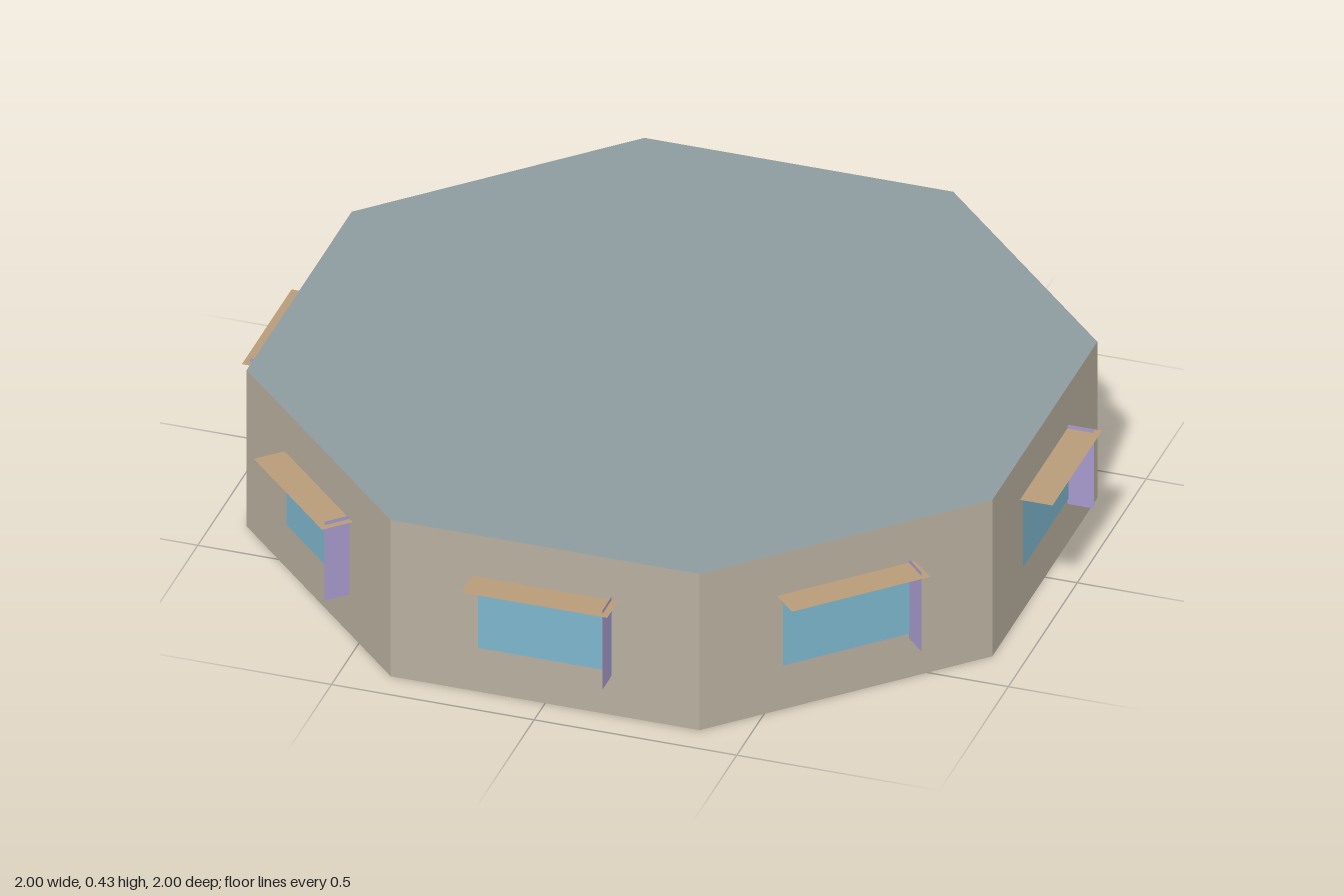
import * as THREE from 'three';

const SIDES = 8, APOTHEM = 0.92, HEIGHT = 0.425;
const RADIUS = APOTHEM / Math.cos(Math.PI / SIDES);

function material(color, doubleSided = false) {
  return new THREE.MeshStandardMaterial({
    color, flatShading: true, side: doubleSided ? THREE.DoubleSide : THREE.FrontSide,
  });
}

function addMesh(parent, name, geometry, mat) {
  const mesh = new THREE.Mesh(geometry, mat);
  mesh.name = name;
  parent.add(mesh);
  return mesh;
}

export function createModel() {
  const group = new THREE.Group();
  group.name = 'octagonalPavilion';
  const wallMat = material(0xb8ae9e);
  const roofMat = material(0x8d9ba0);
  const glassMat = material(0x7cb5cb);
  const awningMat = material(0xb89b78, true);
  const finMat = material(0xa699cb, true);

  // Octagonal walls with a flat face towards each axis
  const walls = new THREE.CylinderGeometry(RADIUS, RADIUS, HEIGHT, SIDES, 1, true, Math.PI / SIDES);
  addMesh(group, 'walls', walls, wallMat).position.y = HEIGHT / 2;

  // Flat roof and floor
  const slab = new THREE.CircleGeometry(RADIUS, SIDES, Math.PI / SIDES);
  const roof = addMesh(group, 'roof', slab, roofMat);
  roof.rotation.x = -Math.PI / 2;
  roof.position.y = HEIGHT;
  addMesh(group, 'floor', slab, roofMat).rotation.x = Math.PI / 2;

  // Each face: window, horizontal awning and one upright shading fin
  const windowGeo = new THREE.PlaneGeometry(0.33, 0.19).translate(0, 0.215, APOTHEM + 0.002);
  const awningGeo = new THREE.PlaneGeometry(0.36, 0.08)
    .rotateX(-Math.PI / 2).translate(0, 0.312, APOTHEM + 0.04);
  const finGeo = new THREE.PlaneGeometry(0.066, 0.215)
    .rotateY(Math.PI / 2).translate(0.164, 0.214, APOTHEM + 0.033);
  for (let i = 0; i < SIDES; i++) {
    const bay = new THREE.Group();
    bay.name = `windowBay${i + 1}`;
    bay.rotation.y = (i / SIDES) * Math.PI * 2;
    addMesh(bay, 'window', windowGeo, glassMat);
    addMesh(bay, 'awning', awningGeo, awningMat);
    addMesh(bay, 'shadingFin', finGeo, finMat);
    group.add(bay);
  }
  return group;
}
